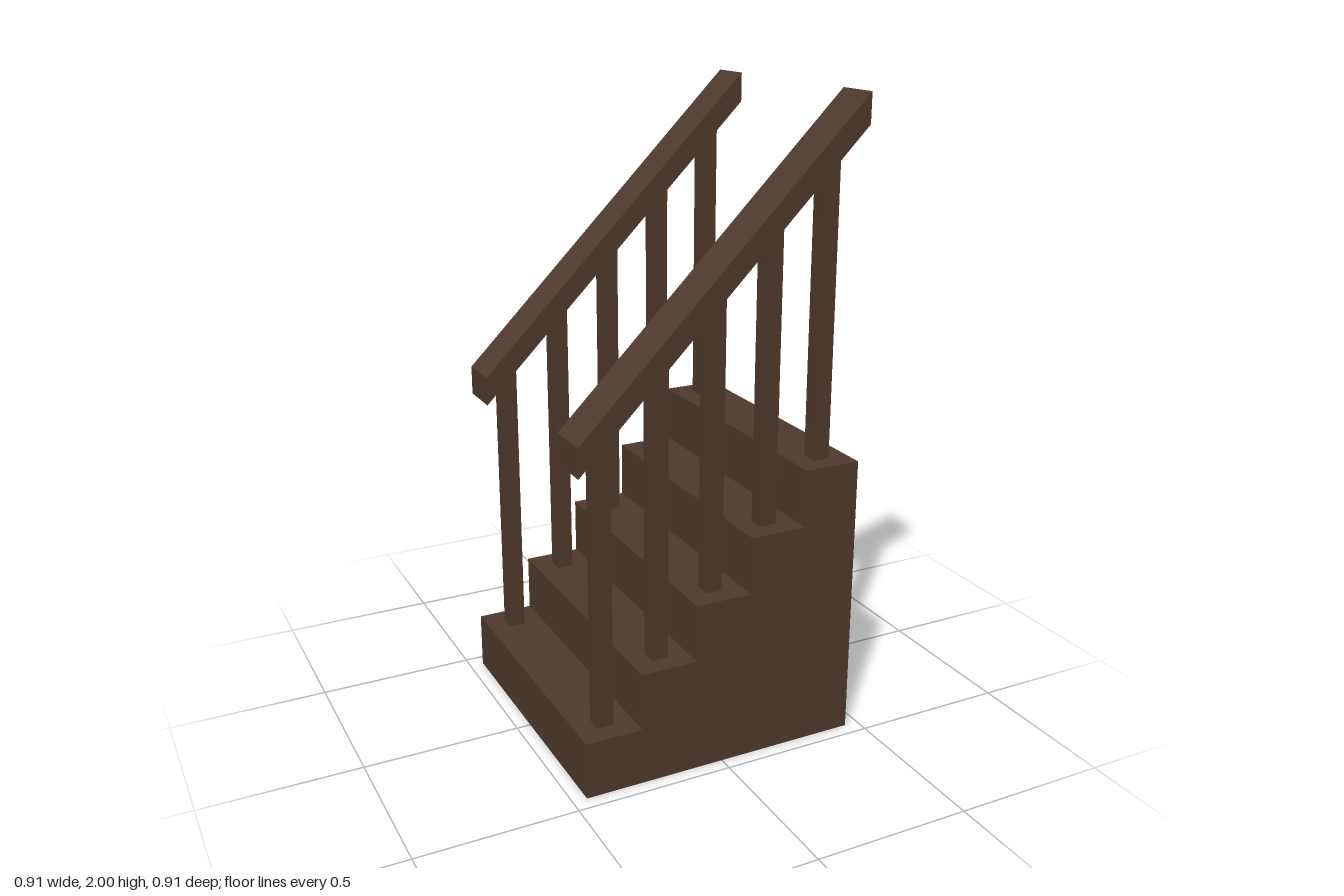
import * as THREE from 'three';

const HALF = 0.4545;          // half width of the stair block
const STEPS = 5;
const STEP = (2 * HALF) / STEPS;
const RAIL_LOW = 1.0;         // underside of the rail at its lower end
const RAIL_HEIGHT = 0.091;

// Extrude a side profile along z, centred on the given z
function extrudeProfile(points, width, z, material, name) {
  const shape = new THREE.Shape(points.map(([x, y]) => new THREE.Vector2(x, y)));
  const geometry = new THREE.ExtrudeGeometry(shape, { depth: width, bevelEnabled: false });
  geometry.translate(0, 0, z - width / 2);
  const mesh = new THREE.Mesh(geometry, material);
  mesh.name = name;
  return mesh;
}

export function createModel() {
  const model = new THREE.Group();
  model.name = 'staircase';

  const darkWood = new THREE.MeshStandardMaterial({ color: 0x4f3a2d });
  darkWood.name = 'dark wood';

  // Solid steps climbing towards +x
  const profile = [[HALF, 0], [HALF, STEPS * STEP]];
  for (let i = STEPS - 1; i >= 0; i--) {
    const x = -HALF + i * STEP;
    profile.push([x, (i + 1) * STEP], [x, i * STEP]);
  }
  model.add(extrudeProfile(profile, 2 * HALF, 0, darkWood, 'steps'));

  // A sloping handrail with one baluster per step on each side
  for (const side of [1, -1]) {
    const railing = new THREE.Group();
    railing.name = side > 0 ? 'frontRailing' : 'backRailing';

    const railHigh = RAIL_LOW + 2 * HALF;
    railing.add(extrudeProfile([
      [-HALF, RAIL_LOW], [HALF, railHigh],
      [HALF, railHigh + RAIL_HEIGHT], [-HALF, RAIL_LOW + RAIL_HEIGHT],
    ], 0.143, side * 0.364, darkWood, 'handrail'));

    for (let i = 0; i < STEPS; i++) {
      const x = -HALF + (i + 0.5) * STEP;
      const bottom = (i + 1) * STEP;
      const top = RAIL_LOW + x + HALF + 0.04;
      const post = new THREE.Mesh(new THREE.BoxGeometry(0.053, top - bottom, 0.053), darkWood);
      post.position.set(x, (top + bottom) / 2, side * 0.364);
      post.name = 'baluster';
      railing.add(post);
    }
    model.add(railing);
  }
  return model;
}
